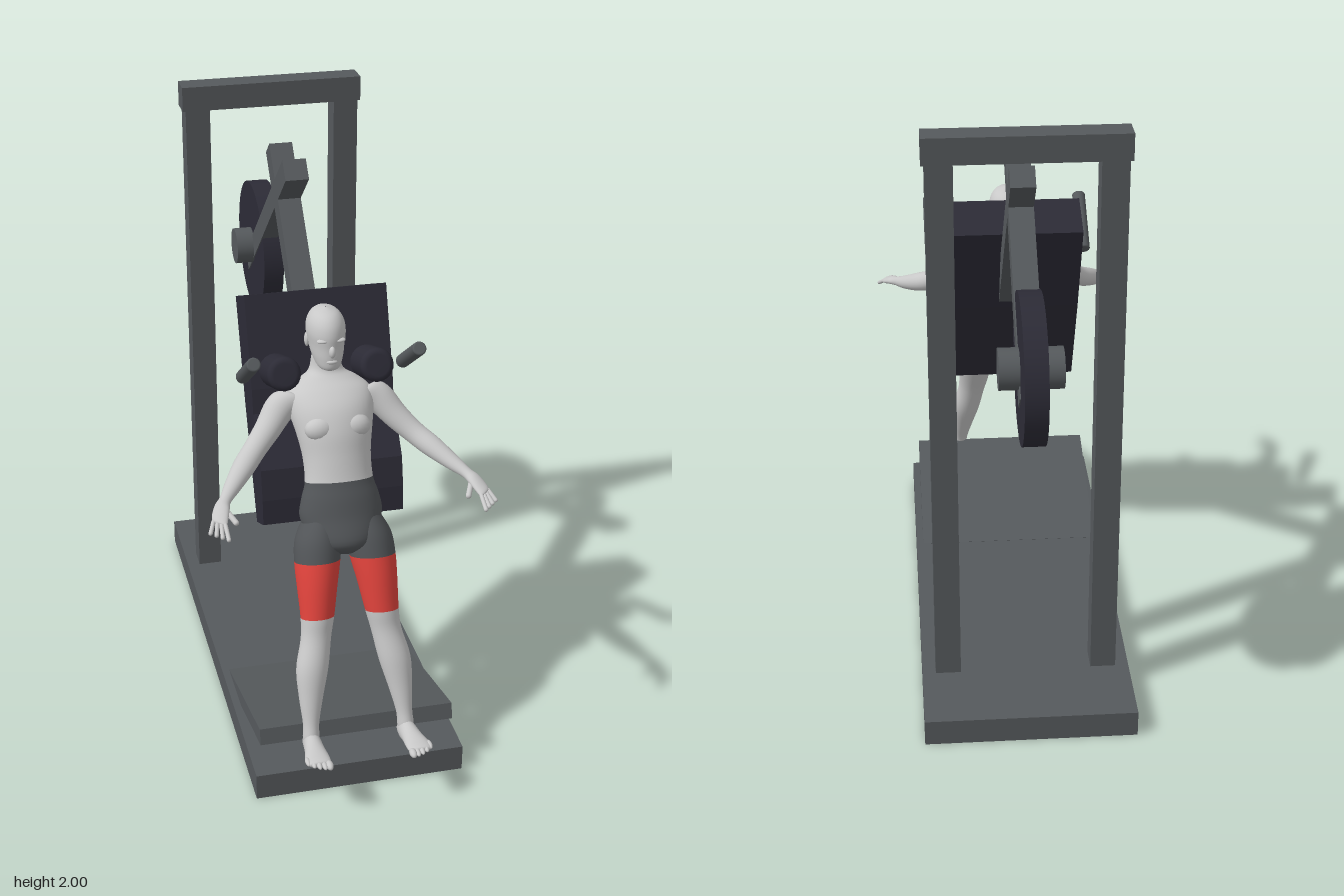
import * as THREE from 'three';

const mat = (name, color) => {
  const m = new THREE.MeshStandardMaterial({ color });
  m.name = name;
  return m;
};
const V3 = (x, y, z) => new THREE.Vector3(x, y, z);

// Smooth loft through elliptical rows [x, y, z, ru, rv]; pick(rowParam, angle) gives a material index.
function loft(rows, U, V, pick = () => 0, seg = 32, sub = 5) {
  const rings = [], n = rows.length - 1;
  for (let i = 0; i <= n * sub; i++) {
    const k = Math.min(Math.floor(i / sub), n - 1), t = i / sub - k;
    const [a, b, c, d] = [Math.max(k - 1, 0), k, k + 1, Math.min(k + 2, n)].map((q) => rows[q]);
    rings.push(b.map((_, j) => 0.5 * (2 * b[j] + (c[j] - a[j]) * t
      + (2 * a[j] - 5 * b[j] + 4 * c[j] - d[j]) * t * t
      + (3 * b[j] - a[j] - 3 * c[j] + d[j]) * t * t * t)));
  }
  const pos = [], buckets = [];
  for (const r of rings) {
    for (let j = 0; j < seg; j++) {
      const th = (j / seg) * Math.PI * 2;
      const p = V3(r[0], r[1], r[2])
        .addScaledVector(U, Math.max(r[3], 0.001) * Math.cos(th))
        .addScaledVector(V, Math.max(r[4], 0.001) * Math.sin(th));
      pos.push(p.x, p.y, p.z);
    }
  }
  const D = V3(...rows[n].slice(0, 3)).sub(V3(...rows[0].slice(0, 3)));
  const out = V.clone().cross(D).dot(U) > 0;
  for (let i = 0; i < rings.length - 1; i++) {
    for (let j = 0; j < seg; j++) {
      const a = i * seg + j, b = i * seg + ((j + 1) % seg), c = a + seg, d = b + seg;
      const m = pick((i + 0.5) / sub, ((j + 0.5) / seg) * Math.PI * 2);
      (buckets[m] ??= []).push(...(out ? [a, b, c, b, d, c] : [a, c, b, b, c, d]));
    }
  }
  const g = new THREE.BufferGeometry();
  g.setAttribute('position', new THREE.Float32BufferAttribute(pos, 3));
  g.setIndex(buckets.flat());
  let start = 0;
  buckets.forEach((b, m) => { g.addGroup(start, b.length, m); start += b.length; });
  g.computeVertexNormals();
  return g;
}

export function createModel() {
  const root = new THREE.Group();
  const frame = mat('frame grey', 0x55595c);
  const pad = mat('dark padding', 0x2c2b36);
  const skin = mat('pale skin', 0xc8c8c8);
  const shorts = mat('shorts grey', 0x525558);
  const red = mat('muscle red', 0xe0433c);

  const add = (name, geo, m, x = 0, y = 0, z = 0) => {
    const mesh = new THREE.Mesh(geo, m);
    mesh.name = name;
    mesh.position.set(x, y, z);
    root.add(mesh);
    return mesh;
  };
  const box = (name, w, h, d, x, y, z) => add(name, new THREE.BoxGeometry(w, h, d), frame, x, y, z);
  // Box running between two (z, y) points
  const beam = (name, z1, y1, z2, y2, w, t) => {
    const m = box(name, w, t, Math.hypot(z2 - z1, y2 - y1), 0, (y1 + y2) / 2, (z1 + z2) / 2);
    m.rotation.x = Math.atan2(y1 - y2, z2 - z1);
  };
  // Round bar with softened ends
  const rod = (name, a, b, r, bevel, m) => {
    const d = b.clone().sub(a), L = d.length(), pts = [new THREE.Vector2(0, 0)];
    for (const end of [0, 1]) {
      for (let i = 0; i <= 4; i++) {
        const q = ((end ? i : 4 - i) / 4) * Math.PI / 2;
        const h = bevel * (1 - Math.sin(q));
        pts.push(new THREE.Vector2(r - bevel + bevel * Math.cos(q), end ? L - bevel + bevel * Math.sin(q) : h));
      }
    }
    pts.push(new THREE.Vector2(0, L));
    const mesh = add(name, new THREE.LatheGeometry(pts, 20), m, a.x, a.y, a.z);
    mesh.quaternion.setFromUnitVectors(V3(0, 1, 0), d.normalize());
  };
  const blob = (name, m, x, y, z, sx, sy, sz) =>
    add(name, new THREE.SphereGeometry(1, 18, 12), m, x, y, z).scale.set(sx, sy, sz);

  // Machine frame
  box('base', 0.7, 0.09, 1.67, 0, 0.045, -0.015);
  for (const s of [1, -1]) box('post', 0.085, 1.83, 0.085, s * 0.2625, 1.005, -0.5475);
  box('crossbar', 0.63, 0.085, 0.087, 0, 1.9575, -0.5475);
  beam('footPlate', 0.22, 0.064, 0.765, 0.202, 0.65, 0.055);
  beam('padArm', 0.178, 1.137, -0.4, 1.8, 0.08, 0.075);
  beam('weightArm', -0.797, 1.227, -0.137, 1.808, 0.08, 0.075);

  // Weight plate on its hub
  const disc = (name, r, w, m) =>
    add(name, new THREE.CylinderGeometry(r, r, w, 48).rotateZ(Math.PI / 2), m, 0, 1.314, -0.734);
  disc('weightPlate', 0.237, 0.072, pad);
  disc('hub', 0.065, 0.2, frame);

  // Back pad, drawn in (z, y) and extruded across x
  const outline = [[0.156, 1.5], [0.008, 1.436], [0.148, 1.1], [0.32, 0.747], [0.426, 0.795],
    [0.418, 0.88], [0.395, 0.98], [0.28, 1.13], [0.262, 1.21]];
  const shape = new THREE.Shape(outline.map(([z, y]) => new THREE.Vector2(z, y)));
  const padGeo = new THREE.ExtrudeGeometry(shape, { depth: 0.475, bevelEnabled: false });
  add('backPad', padGeo.translate(0, 0, -0.2375).rotateY(-Math.PI / 2), pad);

  for (const s of [1, -1]) {
    rod('shoulderRoller', V3(s * 0.153, 1.255, 0.22), V3(s * 0.153, 1.315, 0.385), 0.056, 0.02, pad);
    rod('handle', V3(s * 0.268, 1.262, 0.265), V3(s * 0.268, 1.396, 0.457), 0.023, 0.006, frame);
  }

  // Torso with neck, shorts below the waist
  const X = V3(1, 0, 0), lean = V3(0, 0.35, 1);
  const torso = [[0, 0.755, 0.585, 0.03, 0.03], [0, 0.79, 0.572, 0.1, 0.07], [0, 0.86, 0.522, 0.135, 0.086],
    [0, 0.92, 0.505, 0.128, 0.08], [0, 0.975, 0.488, 0.112, 0.072], [0, 1.05, 0.455, 0.112, 0.078],
    [0, 1.12, 0.42, 0.125, 0.088], [0, 1.18, 0.375, 0.14, 0.095], [0, 1.225, 0.34, 0.138, 0.08],
    [0, 1.255, 0.312, 0.1, 0.06], [0, 1.28, 0.298, 0.058, 0.05], [0, 1.33, 0.295, 0.046, 0.044],
    [0, 1.37, 0.29, 0.04, 0.04]];
  add('torso', loft(torso, X, lean, (v) => (v < 4 ? 0 : 1), 40), [shorts, skin]);

  // Head and face
  const head = [[0, 1.303, 0.34, 0.005, 0.01], [0, 1.312, 0.34, 0.034, 0.044], [0, 1.345, 0.318, 0.05, 0.072],
    [0, 1.385, 0.3, 0.058, 0.088], [0, 1.425, 0.295, 0.063, 0.092], [0, 1.46, 0.294, 0.056, 0.08],
    [0, 1.485, 0.294, 0.036, 0.052], [0, 1.497, 0.294, 0.002, 0.002]];
  add('head', loft(head, X, V3(0, 0, 1)), skin);
  blob('nose', skin, 0, 1.378, 0.389, 0.011, 0.02, 0.015);
  blob('lips', skin, 0, 1.343, 0.386, 0.018, 0.007, 0.009);

  for (const s of [1, -1]) {
    const at = (r) => [s * r[0], ...r.slice(1)];
    blob('ear', skin, s * 0.06, 1.385, 0.285, 0.008, 0.024, 0.015);
    blob('brow', skin, s * 0.026, 1.412, 0.372, 0.021, 0.007, 0.014);
    blob('chest', skin, s * 0.056, 1.15, 0.465, 0.052, 0.042, 0.038);

    // Leg: shorts, red front thigh, bare lower leg
    const leg = [[0.07, 0.86, 0.52, 0.055, 0.068], [0.083, 0.8, 0.548, 0.075, 0.08],
      [0.092, 0.735, 0.578, 0.075, 0.077], [0.1, 0.66, 0.612, 0.066, 0.068], [0.108, 0.565, 0.65, 0.055, 0.053],
      [0.118, 0.5, 0.672, 0.05, 0.045], [0.138, 0.41, 0.708, 0.053, 0.045], [0.15, 0.32, 0.742, 0.04, 0.035],
      [0.157, 0.24, 0.772, 0.027, 0.026], [0.16, 0.19, 0.785, 0.027, 0.03], [0.16, 0.165, 0.785, 0.022, 0.025]];
    const legPaint = (v, a) => (v < 2 ? 0 : v < 4 && Math.sin(a) > -0.2 ? 1 : 2);
    add('leg', loft(leg.map(at), V3(s, 0, 0), lean, legPaint), [shorts, red, skin]);

    // Foot and toes
    const foot = [[0.16, 0.168, 0.75, 0.002, 0.002], [0.16, 0.168, 0.762, 0.023, 0.026],
      [0.16, 0.177, 0.8, 0.029, 0.038], [0.163, 0.186, 0.85, 0.033, 0.028], [0.167, 0.195, 0.905, 0.04, 0.017],
      [0.167, 0.199, 0.938, 0.036, 0.012], [0.167, 0.2, 0.945, 0.01, 0.004]];
    add('foot', loft(foot.map(at), V3(s, 0, 0), V3(0, 1, 0), undefined, 24), skin);
    for (let i = 0; i < 5; i++) {
      const r = i ? 0.0085 : 0.012;
      blob('toe', skin, s * (0.138 + i * 0.016), 0.2, 0.952 - i * i * 0.002, r, r, 0.022);
    }

    // Arm running into the palm
    const d = V3(s * 0.27, -0.2, 0.27).normalize();
    const side = V3(s * 0.707, 0, -0.707), up = side.clone().cross(d).normalize();
    const arm = [[0.1, 1.2, 0.35, 0.03, 0.03], [0.13, 1.2, 0.348, 0.055, 0.05], [0.17, 1.18, 0.362, 0.05, 0.05],
      [0.215, 1.13, 0.395, 0.043, 0.042], [0.265, 1.085, 0.435, 0.038, 0.036], [0.31, 1.055, 0.485, 0.037, 0.034],
      [0.36, 1.025, 0.55, 0.028, 0.025], [0.393, 1.008, 0.6, 0.02, 0.017], [0.408, 1, 0.63, 0.027, 0.015],
      [0.422, 0.986, 0.665, 0.03, 0.012], [0.428, 0.978, 0.688, 0.026, 0.009], [0.429, 0.976, 0.693, 0.003, 0.002]];
    add('arm', loft(arm.map(at), side, up, undefined, 24), skin);
    for (let i = 0; i < 4; i++) {
      const off = (i - 1.5) * 0.014;
      const a = V3(s * 0.427, 0.981, 0.682).addScaledVector(side, off);
      const b = a.clone().add(V3(s * 0.01, -0.028, 0.054)).addScaledVector(side, off * 0.7);
      rod('finger', a, b, 0.0068, 0.0065, skin);
    }
    rod('thumb', V3(s * 0.4, 0.995, 0.635), V3(s * 0.372, 0.968, 0.692), 0.009, 0.008, skin);
  }
  return root;
}
